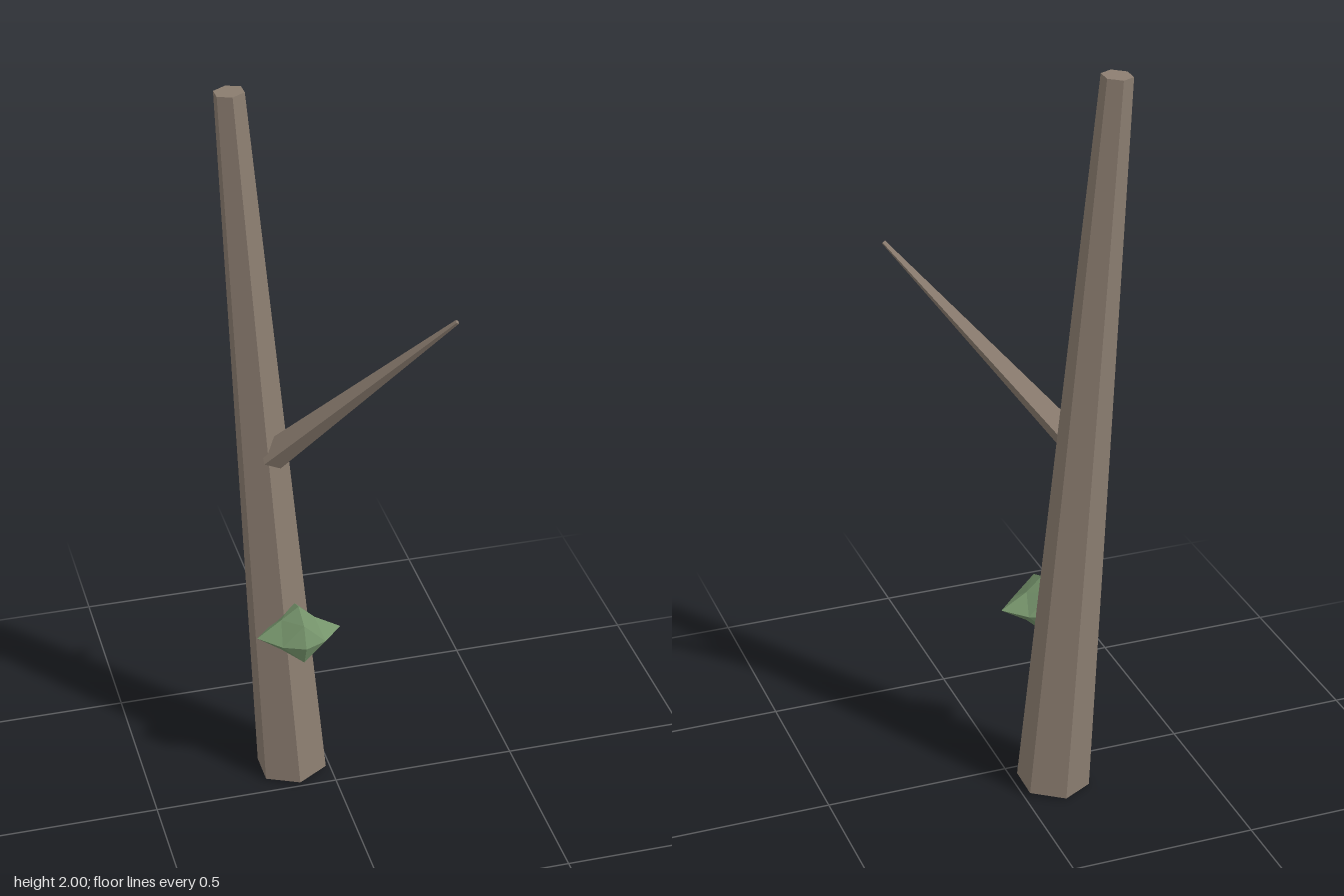
import * as THREE from 'three';

const bark = new THREE.MeshStandardMaterial({ color: 0x8b7d70, flatShading: true, side: THREE.DoubleSide });
const green = new THREE.MeshStandardMaterial({ color: 0x75936b, flatShading: true });

// Tapered limb from a to b, open at the base and capped at the tip.
function limb(name, a, b, rBase, rTip, sides) {
  const group = new THREE.Group();
  group.name = name;
  const length = a.distanceTo(b);
  const wall = new THREE.Mesh(new THREE.CylinderGeometry(rTip, rBase, length, sides, 1, true), bark);
  wall.name = name + 'Wall';
  const cap = new THREE.Mesh(new THREE.CircleGeometry(rTip, sides, Math.PI / 2).rotateX(-Math.PI / 2), bark);
  cap.name = name + 'Tip';
  cap.position.y = length / 2;
  group.add(wall, cap);
  group.position.copy(a).add(b).multiplyScalar(0.5);
  return group;
}

export function createModel() {
  const model = new THREE.Group();
  model.name = 'tree';
  const up = new THREE.Vector3(0, 1, 0);

  // Leaning hexagonal trunk, its ends square to its axis
  const foot = new THREE.Vector3(-0.1, 0.009, -0.1);
  const top = new THREE.Vector3(-0.22, 1.998, -0.17);
  const trunk = limb('trunk', foot, top, 0.098, 0.04, 6);
  trunk.quaternion.setFromUnitVectors(up, top.clone().sub(foot).normalize());
  model.add(trunk);

  // Four-sided branch with one ridge facing up
  const root = new THREE.Vector3(-0.15, 1.01, -0.09);
  const tip = new THREE.Vector3(0.25, 1.5, 0.2);
  const branch = limb('branch', root, tip, 0.04, 0.006, 4);
  const dir = tip.clone().sub(root).normalize();
  const side = dir.clone().cross(up).normalize();
  branch.quaternion.setFromRotationMatrix(
    new THREE.Matrix4().makeBasis(side, dir, side.clone().cross(dir)));
  model.add(branch);

  // Leaf clump: a faceted ball drawn out to points at both sides
  const geo = new THREE.OctahedronGeometry(1, 1);
  const pos = geo.attributes.position;
  const v = new THREE.Vector3();
  for (let i = 0; i < pos.count; i++) {
    v.fromBufferAttribute(pos, i);
    const onSide = Math.abs(v.x) > 0.9;
    const shoulder = Math.abs(v.x) > 0.5 && Math.abs(v.y) > 0.5;
    v.multiplyScalar(onSide ? 0.113 : shoulder ? (v.x > 0 ? 0.06 : 0.067) : 0.082);
    pos.setXYZ(i, v.x, v.y, v.z);
  }
  geo.computeVertexNormals();
  const leaves = new THREE.Mesh(geo, green);
  leaves.name = 'leafClump';
  leaves.position.set(-0.098, 0.505, -0.013);
  model.add(leaves);

  return model;
}
